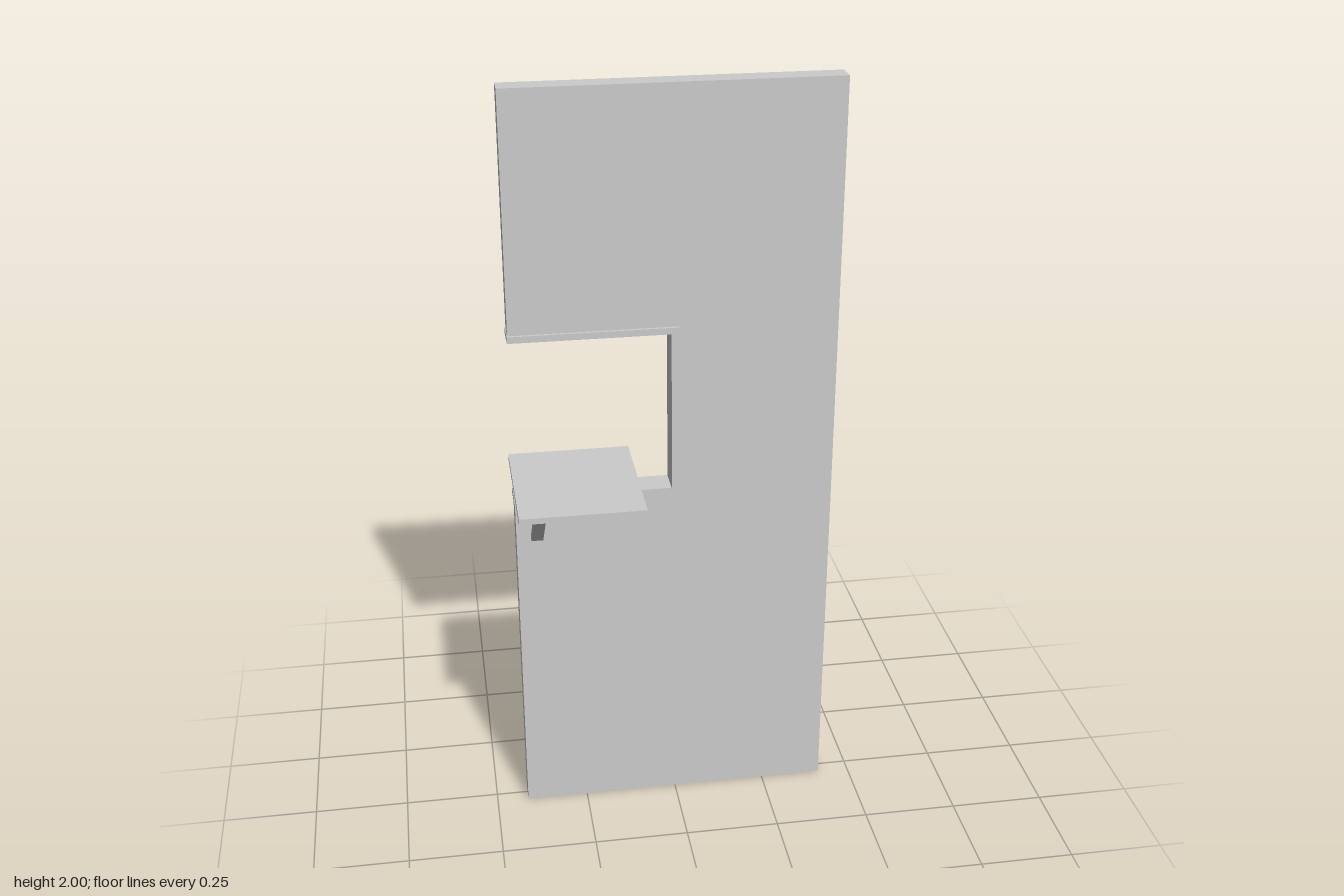
import * as THREE from 'three';

const material = new THREE.MeshStandardMaterial({ color: 0xcccccc });

// Extrude an outline of [a, b] points between two depths
function slab(name, points, from, to) {
  const shape = new THREE.Shape(points.map(([a, b]) => new THREE.Vector2(a, b)));
  const geometry = new THREE.ExtrudeGeometry(shape, { depth: to - from, bevelEnabled: false });
  geometry.translate(0, 0, from);
  const mesh = new THREE.Mesh(geometry, material);
  mesh.name = name;
  return mesh;
}

export function createModel() {
  const group = new THREE.Group();
  group.name = 'wallWithServingHatch';
  const left = -0.415, right = 0.415;

  // Wall panel with a notch open on one side
  group.add(slab('wall', [
    [left, 0], [right, 0], [right, 2], [left, 2],
    [left, 1.385], [0, 1.385], [0, 0.94], [left, 0.94],
  ], -0.025, 0.033));

  // C-shaped trim lining the notch, slightly proud of both wall faces
  group.add(slab('openingFrame', [
    [left - 0.002, 0.931], [0.01, 0.931], [0.01, 1.393], [left - 0.002, 1.393],
    [left - 0.002, 1.376], [-0.01, 1.376], [-0.01, 0.95], [left - 0.002, 0.95],
  ], -0.034, 0.041));

  // Counter resting on the sill, reaching out on both sides
  const counter = new THREE.Mesh(new THREE.BoxGeometry(0.322, 0.016, 0.374), material);
  counter.position.set(-0.254, 0.959, -0.001);
  counter.name = 'counter';
  group.add(counter);

  // Diagonal braces under the counter, one on each side of the wall
  const braces = [['frontBrace', 1, 0.033], ['backBrace', -1, 0.025]];
  for (const [name, side, face] of braces) {
    const profile = [
      [face, 0.82], [face + 0.134, 0.951], [face + 0.114, 0.951], [face, 0.84],
    ].map(([z, y]) => [-z * side, y]);
    const brace = slab(name, profile, -0.377, -0.346);
    brace.rotation.y = Math.PI / 2; // profile runs along z, depth along x
    group.add(brace);
  }
  return group;
}
